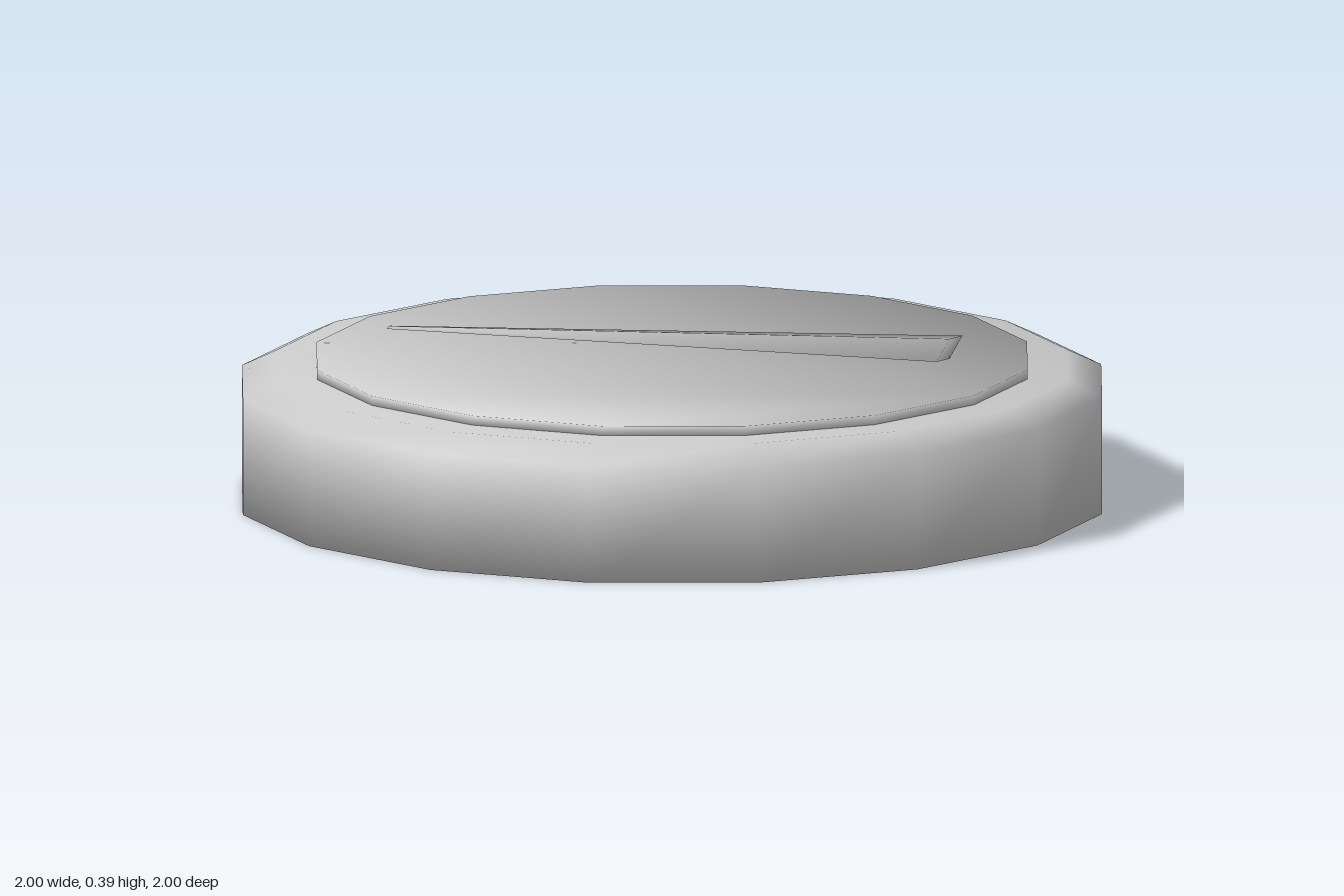
import * as THREE from 'three';

// Closed solid lofted through rings [halfWidth, halfDepth, y] from bottom to top,
// with normals smoothed over every edge, weighted by corner angle
function loft(rings, sides, turn = 0) {
  const pos = [], index = [];
  for (const [w, d, y] of rings) {
    for (let i = 0; i < sides; i++) {
      const a = turn + (i / sides) * Math.PI * 2;
      pos.push(w * Math.sin(a), y, d * Math.cos(a));
    }
  }
  for (let r = 0; r < rings.length - 1; r++) {
    for (let i = 0; i < sides; i++) {
      const a = r * sides + i, b = r * sides + (i + 1) % sides;
      index.push(a, b, b + sides, a, b + sides, a + sides);
    }
  }
  const top = (rings.length - 1) * sides;
  for (let i = 1; i < sides - 1; i++) {
    index.push(0, i + 1, i);
    index.push(top, top + i, top + i + 1);
  }

  const points = [], normals = [];
  for (let i = 0; i < pos.length; i += 3) {
    points.push(new THREE.Vector3().fromArray(pos, i));
    normals.push(new THREE.Vector3());
  }
  for (let t = 0; t < index.length; t += 3) {
    const tri = index.slice(t, t + 3);
    const face = new THREE.Triangle(...tri.map((k) => points[k])).getNormal(new THREE.Vector3());
    tri.forEach((k, c) => {
      const u = points[tri[(c + 1) % 3]].clone().sub(points[k]);
      const v = points[tri[(c + 2) % 3]].clone().sub(points[k]);
      normals[k].addScaledVector(face, u.angleTo(v));
    });
  }
  const geo = new THREE.BufferGeometry();
  geo.setAttribute('position', new THREE.Float32BufferAttribute(pos, 3));
  geo.setAttribute('normal', new THREE.Float32BufferAttribute(
    normals.flatMap((n) => n.normalize().toArray()), 3));
  geo.setIndex(index);
  return geo;
}

export function createModel() {
  const group = new THREE.Group();
  group.name = 'compass';
  const grey = new THREE.MeshStandardMaterial({ color: 0xcccccc });
  grey.name = 'light grey';

  const add = (name, geo) => {
    const mesh = new THREE.Mesh(geo, grey);
    mesh.name = name;
    group.add(mesh);
    return mesh;
  };

  // Sixteen-sided case with a bevelled upper rim
  const turn = 0.04;
  add('case', loft([[1, 1, 0], [1, 1, 0.27], [0.92, 0.92, 0.308]], 16, turn));

  // Thin dial standing just above the case
  add('dial', loft([[0.827, 0.827, 0.305], [0.827, 0.827, 0.33]], 16, turn));

  // Flat tapered needle of diamond section, hovering over the dial
  const needle = add('needle', loft([[0.154, 0.023, -0.652], [0.019, 0.003, 0.652]], 4)
    .rotateX(-Math.PI / 2));
  needle.rotation.y = 0.433;
  needle.position.set(-0.003, 0.371, -0.006);

  return group;
}
